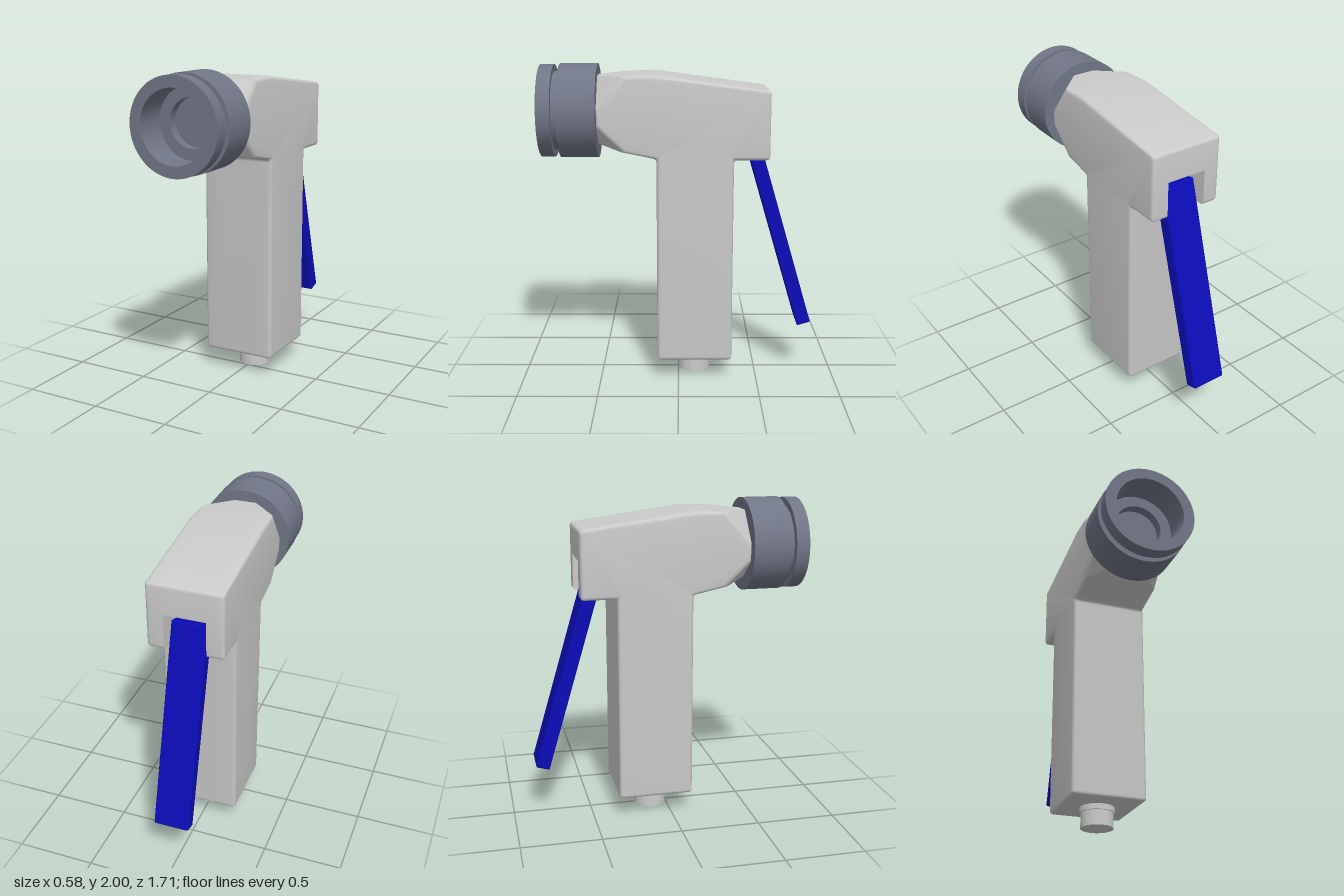
import * as THREE from 'three';
import { toCreasedNormals } from 'three/addons/utils/BufferGeometryUtils.js';
import { RoundedBoxGeometry } from 'three/addons/geometries/RoundedBoxGeometry.js';

const HALF = 0.237;  // half width of the body
const ROUND = 0.022; // edge rounding of the body

// Side outline of the body as [z, y, rounded], counter-clockwise.
// k: 0..1 amount of nose corner cut, slot: whether the lever slot is open here.
function outline(k, slot) {
  return [
    [0.135, 0.13, 1],
    [0.135, 1.435, 1],
    [0.5 - 0.17 * k, 1.51 - 0.035 * k, 0],
    [0.5, 1.51 + 0.13 * k, 0],
    [0.5, 1.93 - 0.21 * k, 0],
    [0.5 - 0.17 * k, 1.93 + 0.007 * k, 0],
    [0.15, 1.945, 0],
    [-0.56, 1.85, 1],
    [-0.56, 1.66, 0],
    slot ? [-0.38, 1.66, 1] : [-0.56, 1.43, 1],
    [-0.38, 1.43, 0],
    [-0.34, 1.43, 1],
    [-0.34, 0.13, 1],
  ];
}

// Move every edge inwards by d
function inset(points, d) {
  if (d < 1e-6) return points;
  const n = points.length;
  const normal = (a, b) => {
    const dz = b[0] - a[0], dy = b[1] - a[1], l = Math.hypot(dz, dy);
    return [-dy / l, dz / l];
  };
  return points.map((p, i) => {
    const a = normal(points[(i + n - 1) % n], p);
    const b = normal(p, points[(i + 1) % n]);
    const s = d / (1 + a[0] * b[0] + a[1] * b[1]);
    return [p[0] + (a[0] + b[0]) * s, p[1] + (a[1] + b[1]) * s, p[2]];
  });
}

// Replace flagged corners with short arcs
function roundCorners(points, r) {
  const n = points.length, out = [];
  points.forEach(([z, y, rounded], i) => {
    const p = new THREE.Vector2(z, y);
    if (!rounded) return out.push(p);
    const toward = (q) => new THREE.Vector2(q[0], q[1]).sub(p).setLength(r).add(p);
    const arc = new THREE.QuadraticBezierCurve(
      toward(points[(i + n - 1) % n]), p, toward(points[(i + 1) % n]));
    out.push(...arc.getPoints(4));
  });
  return out;
}

// Loft the outline across the width, layer by layer
function bodyGeometry() {
  const half = [];
  const add = (x, slot, d = 0) => {
    const k = THREE.MathUtils.clamp((x - 0.07) / (HALF - 0.07), 0, 1);
    half.push({ x, ring: roundCorners(inset(outline(k, slot), d), Math.max(ROUND - d, 0.004)) });
  };
  add(0.07, true);
  add(0.13, true);
  add(0.13, false);
  for (let i = 0; i <= 4; i++) {
    const a = (i / 4) * Math.PI / 2;
    add(HALF - ROUND * (1 - Math.sin(a)), false, ROUND * (1 - Math.cos(a)));
  }
  const layers = [...half.map((l) => ({ x: -l.x, ring: l.ring })).reverse(), ...half]
    .map(({ x, ring }) => ring.map((p) => new THREE.Vector3(x, p.y, p.x)));

  const pos = [];
  const tri = (a, b, c) => {
    const area = b.clone().sub(a).cross(c.clone().sub(a)).length();
    if (area > 1e-9) pos.push(...a.toArray(), ...b.toArray(), ...c.toArray());
  };
  for (let i = 0; i + 1 < layers.length; i++) {
    const p = layers[i], q = layers[i + 1], n = p.length;
    for (let j = 0; j < n; j++) {
      const m = (j + 1) % n;
      tri(p[j], q[j], p[m]);
      tri(q[j], q[m], p[m]);
    }
  }
  // Flat side faces
  const first = layers[0], last = layers[layers.length - 1];
  const faces = THREE.ShapeUtils.triangulateShape(half[half.length - 1].ring, []);
  for (const [a, b, c] of faces) {
    tri(first[a], first[b], first[c]);
    tri(last[a], last[c], last[b]);
  }
  const geo = new THREE.BufferGeometry();
  geo.setAttribute('position', new THREE.Float32BufferAttribute(pos, 3));
  return toCreasedNormals(geo, 0.5);
}

// Turned part from [radius, height] pairs, with sharp edges
function turned(profile) {
  const points = profile.map(([r, h]) => new THREE.Vector2(r, h));
  return toCreasedNormals(new THREE.LatheGeometry(points, 64).toNonIndexed(), 0.5);
}

export function createModel() {
  const group = new THREE.Group();
  const grey = new THREE.MeshStandardMaterial({ color: 0xcccccc });
  const slate = new THREE.MeshStandardMaterial({ color: 0x717687 });
  const blue = new THREE.MeshStandardMaterial({ color: 0x0c0cb8 });
  const addPart = (name, geometry, material) => {
    const mesh = new THREE.Mesh(geometry, material);
    mesh.name = name;
    group.add(mesh);
    return mesh;
  };

  // Handle and head in one piece
  addPart('body', bodyGeometry(), grey);

  // Spray head with a groove outside and a stepped bore
  const nozzle = addPart('nozzle', turned([
    [0, 0.5], [0.292, 0.5], [0.292, 0.735], [0.245, 0.735], [0.245, 0.772],
    [0.287, 0.772], [0.287, 0.857], [0.217, 0.857], [0.217, 0.66],
    [0.147, 0.66], [0.147, 0.6], [0, 0.6],
  ]), slate);
  nozzle.rotation.x = Math.PI / 2;
  nozzle.position.y = 1.708;

  // Hose connector under the handle
  const connector = addPart('hoseConnector', turned([
    [0, 0], [0.102, 0], [0.102, 0.095], [0.11, 0.095], [0.11, 0.14], [0, 0.14],
  ]), grey);
  connector.position.z = -0.102;

  // Squeeze lever hanging from the slot
  const lever = addPart('lever', new RoundedBoxGeometry(0.222, 1.3, 0.088, 3, 0.01), blue);
  lever.position.set(0, 0.956, -0.629);
  lever.rotation.x = 0.2875;

  return group;
}
